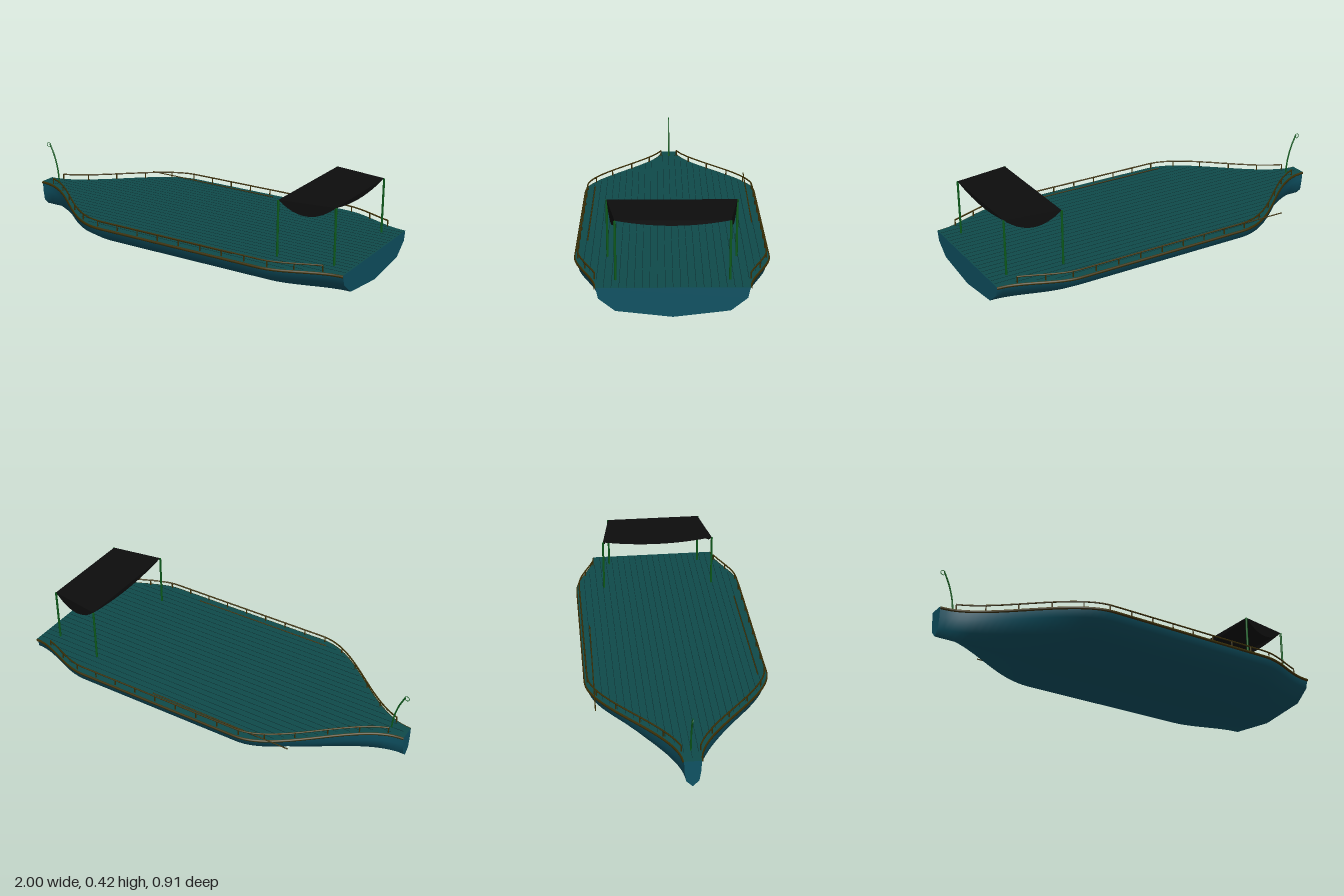
import * as THREE from 'three';

const mat = (color, side = THREE.FrontSide) =>
  new THREE.MeshStandardMaterial({ color, side });
const HULL = mat(0x0f5263), DECK = mat(0x0f4a4a), SEAM = mat(0x0a2c2e);
const WOOD = mat(0x3a2e04), GREEN = mat(0x0b5a1a);
const CLOTH = mat(0x0d0d0d, THREE.DoubleSide);
const DECK_Y = 0.14;

const smooth = THREE.MathUtils.smoothstep;
const V = (x, y, z) => new THREE.Vector3(x, y, z);

// Half width of the hull at deck level
const halfWidth = (x) => 0.04 + 0.41 * smooth(x, -1, -0.3) - 0.11 * smooth(x, 0.62, 1);

// Half cross-section: [share of half width, height]
const PROFILE = [[1, DECK_Y], [0.97, 0.09], [0.75, 0.03], [0, 0]];
const SECTION = [...PROFILE, ...PROFILE.slice(0, -1).reverse().map(([s, y]) => [-s, y])];

function add(parent, name, geometry, material) {
  const mesh = new THREE.Mesh(geometry, material);
  mesh.name = name;
  parent.add(mesh);
  return mesh;
}

// Straight round bar between two points
function bar(parent, name, a, b, r, material, rTop = r) {
  const mesh = add(parent, name, new THREE.CylinderGeometry(rTop, r, a.distanceTo(b), 8), material);
  mesh.position.copy(a).add(b).multiplyScalar(0.5);
  mesh.quaternion.setFromUnitVectors(V(0, 1, 0), b.clone().sub(a).normalize());
  return mesh;
}

// Tube that follows the hull side
function sideTube(x0, x1, y, offset, side, r) {
  const pts = [];
  for (let i = 0; i <= 40; i++) {
    const x = x0 + (x1 - x0) * i / 40;
    pts.push(V(x, y, side * (halfWidth(x) + offset)));
  }
  return new THREE.TubeGeometry(new THREE.CatmullRomCurve3(pts), 80, r, 8);
}

// Smooth skin lofted through the cross-sections
function hullSkin() {
  const n = 64, m = SECTION.length, pos = [], idx = [];
  for (let i = 0; i <= n; i++) {
    const x = -1 + 2 * i / n, w = halfWidth(x);
    for (const [s, y] of SECTION) pos.push(x, y, s * w);
  }
  for (let i = 0; i < n; i++) for (let j = 0; j < m - 1; j++) {
    const a = i * m + j, b = a + m;
    idx.push(a, a + 1, b, b, a + 1, b + 1);
  }
  const g = new THREE.BufferGeometry();
  g.setAttribute('position', new THREE.Float32BufferAttribute(pos, 3));
  g.setIndex(idx);
  g.computeVertexNormals();
  return g;
}

// Flat end of the hull, facing -x or +x
function hullEnd(dir) {
  const w = halfWidth(dir);
  const shape = new THREE.Shape(SECTION.map(([s, y]) => new THREE.Vector2(-s * w, y)));
  return new THREE.ShapeGeometry(shape).rotateY(dir * Math.PI / 2).translate(dir, 0, 0);
}

function deckSurface() {
  const near = [], far = [];
  for (let i = 0; i <= 64; i++) {
    const x = -1 + 2 * i / 64;
    near.push(new THREE.Vector2(x, -halfWidth(x)));
    far.unshift(new THREE.Vector2(x, halfWidth(x)));
  }
  return new THREE.ShapeGeometry(new THREE.Shape([...near, ...far]))
    .rotateX(-Math.PI / 2).translate(0, DECK_Y, 0);
}

// Cloth edge hanging in a curve between two corners
function valance(a, b, drop) {
  const n = 20, pos = [], idx = [];
  for (let i = 0; i <= n; i++) {
    const t = i / n, p = a.clone().lerp(b, t);
    pos.push(p.x, p.y, p.z, p.x, p.y - drop * 4 * t * (1 - t), p.z);
    if (i < n) idx.push(2 * i, 2 * i + 1, 2 * i + 2, 2 * i + 2, 2 * i + 1, 2 * i + 3);
  }
  const g = new THREE.BufferGeometry();
  g.setAttribute('position', new THREE.Float32BufferAttribute(pos, 3));
  g.setIndex(idx);
  g.computeVertexNormals();
  return g;
}

export function createModel() {
  const boat = new THREE.Group();
  boat.name = 'boat';

  // Hull and deck
  add(boat, 'hull', hullSkin(), HULL);
  add(boat, 'transom', hullEnd(1), HULL);
  add(boat, 'bowEnd', hullEnd(-1), HULL);
  add(boat, 'deck', deckSurface(), DECK);

  // Seams between the deck planks
  const seams = new THREE.Group();
  seams.name = 'deckSeams';
  boat.add(seams);
  for (let k = -12; k <= 12; k++) {
    const z = k * 0.034;
    let x0 = -0.98, x1 = 0.995;
    while (halfWidth(x0) < Math.abs(z) + 0.015) x0 += 0.01;
    while (halfWidth(x1) < Math.abs(z) + 0.015) x1 -= 0.01;
    add(seams, 'seam', new THREE.BoxGeometry(x1 - x0, 0.001, 0.002), SEAM)
      .position.set((x0 + x1) / 2, DECK_Y + 0.0005, z);
  }

  // Gunwales and low railings on both sides
  for (const side of [-1, 1]) {
    add(boat, 'gunwale', sideTube(-1, 1, 0.133, 0, side, 0.007), WOOD);
    const railing = new THREE.Group();
    railing.name = 'railing';
    boat.add(railing);
    add(railing, 'handrail', sideTube(-0.92, 0.9, 0.17, -0.01, side, 0.004), WOOD);
    for (let i = 0; i < 16; i++) {
      const x = -0.92 + 1.82 * i / 15, z = side * (halfWidth(x) - 0.01);
      bar(railing, 'railPost', V(x, 0.135, z), V(x, 0.172, z), 0.0035, WOOD);
    }
  }

  // Loose poles resting along the sides
  bar(boat, 'pole', V(-0.57, 0.148, -0.412), V(0.21, 0.148, -0.402), 0.003, WOOD);
  bar(boat, 'pole', V(-0.34, 0.148, 0.402), V(0.45, 0.148, 0.402), 0.003, WOOD);

  // Canopy on four posts
  const canopy = new THREE.Group();
  canopy.name = 'canopy';
  boat.add(canopy);
  const top = 0.42;
  const corners = [V(0.635, top, 0.3), V(0.91, top, 0.255), V(0.91, top, -0.255), V(0.635, top, -0.3)];
  corners.forEach((c, i) => {
    bar(canopy, 'canopyPost', V(c.x, DECK_Y, c.z), V(c.x, top - 0.002, c.z), 0.0055, GREEN);
    add(canopy, 'valance', valance(c, corners[(i + 1) % 4], i % 2 ? 0.025 : 0.062), CLOTH);
  });
  const roof = new THREE.Shape(corners.map((c) => new THREE.Vector2(c.x, -c.z)));
  add(canopy, 'canopyRoof', new THREE.ShapeGeometry(roof).rotateX(-Math.PI / 2).translate(0, top, 0), CLOTH);

  // Curved bow staff with a ring at its tip
  const staff = new THREE.CatmullRomCurve3([
    V(-0.915, 0.135, 0), V(-0.923, 0.21, 0), V(-0.943, 0.285, 0), V(-0.972, 0.35, 0)]);
  add(boat, 'bowStaff', new THREE.TubeGeometry(staff, 24, 0.004, 8), GREEN);
  add(boat, 'staffRing', new THREE.TorusGeometry(0.012, 0.0018, 6, 20), GREEN)
    .position.set(-0.979, 0.343, 0);

  return boat;
}
